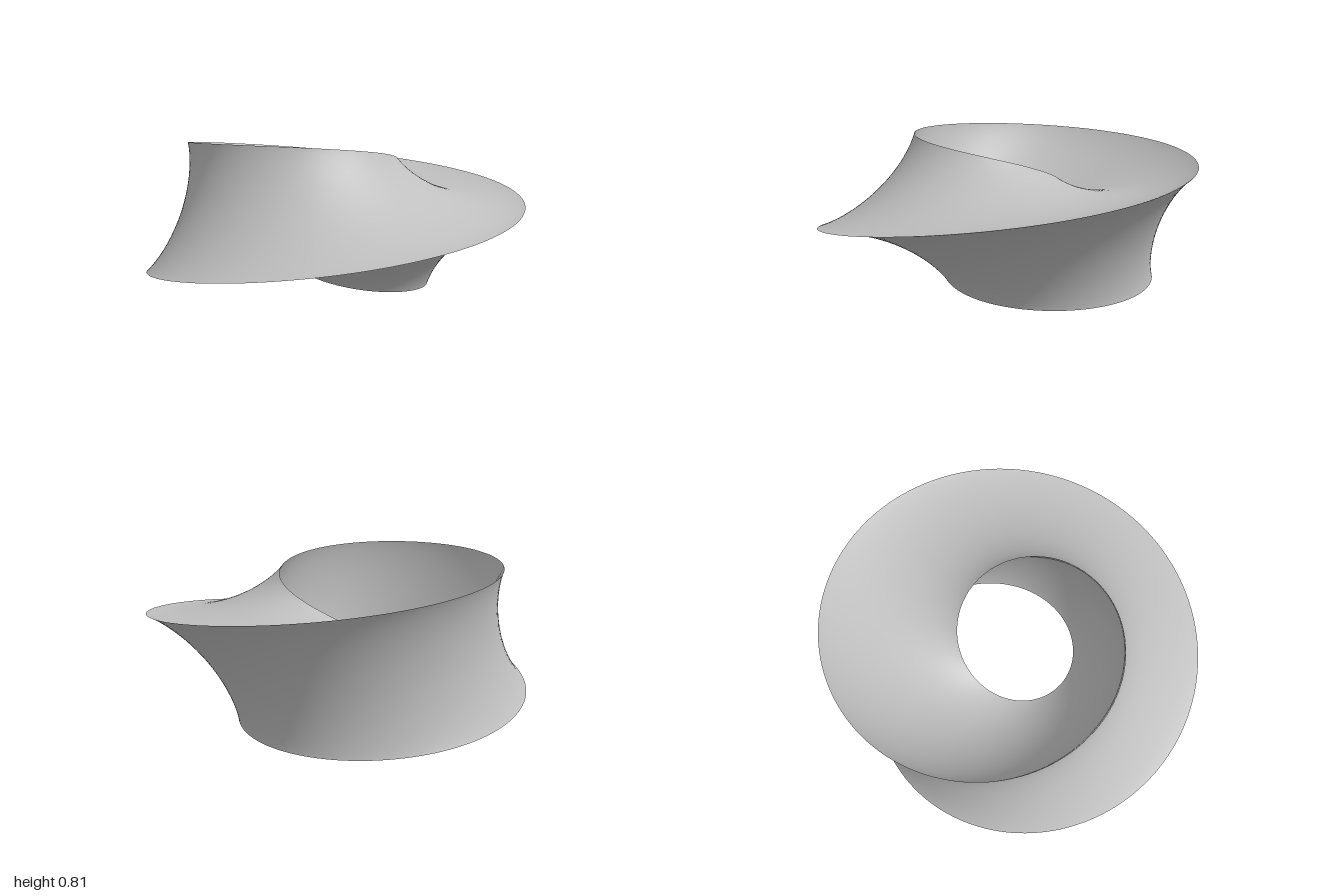
import * as THREE from 'three';

const S = 0.135;          // size of the three-cusped section (cusps lie at 3 * S)
const R = 0.648;          // radius of the ring's centre line
const SHIFT = -0.097;     // centres the ring on x
const AROUND = 480;       // steps over the three laps of the single face
const ACROSS = 28;        // steps from cusp to cusp

// One side of the section, swept three laps while turning one third per lap,
// covers all three sides and closes on itself, leaving one sharp edge.
function twistedRingGeometry() {
  const positions = [];
  const indices = [];
  const row = ACROSS + 1;
  for (let i = 0; i < AROUND; i++) {
    const u = (i / AROUND) * Math.PI * 6;
    const turn = -u / 3;
    const c = Math.cos(turn), s = Math.sin(turn);
    for (let j = 0; j <= ACROSS; j++) {
      const v = (j / ACROSS) * Math.PI * 2 / 3;
      const p = S * (2 * Math.cos(v) + Math.cos(2 * v));
      const q = S * (2 * Math.sin(v) - Math.sin(2 * v));
      const r = R + p * c - q * s;
      positions.push(r * Math.cos(u) + SHIFT, 3 * S + p * s + q * c, r * Math.sin(u));
      if (j < ACROSS) {
        const a = i * row + j;
        const b = ((i + 1) % AROUND) * row + j;
        indices.push(a, a + 1, b, a + 1, b + 1, b);
      }
    }
  }
  const geometry = new THREE.BufferGeometry();
  geometry.setAttribute('position', new THREE.Float32BufferAttribute(positions, 3));
  geometry.setIndex(indices);
  geometry.computeVertexNormals();
  return geometry;
}

export function createModel() {
  const group = new THREE.Group();
  group.name = 'twistedRingModel';
  const grey = new THREE.MeshStandardMaterial({ color: 0xbfbfbf });
  grey.name = 'light grey';
  const ring = new THREE.Mesh(twistedRingGeometry(), grey);
  ring.name = 'twistedRing';
  group.add(ring);
  return group;
}
